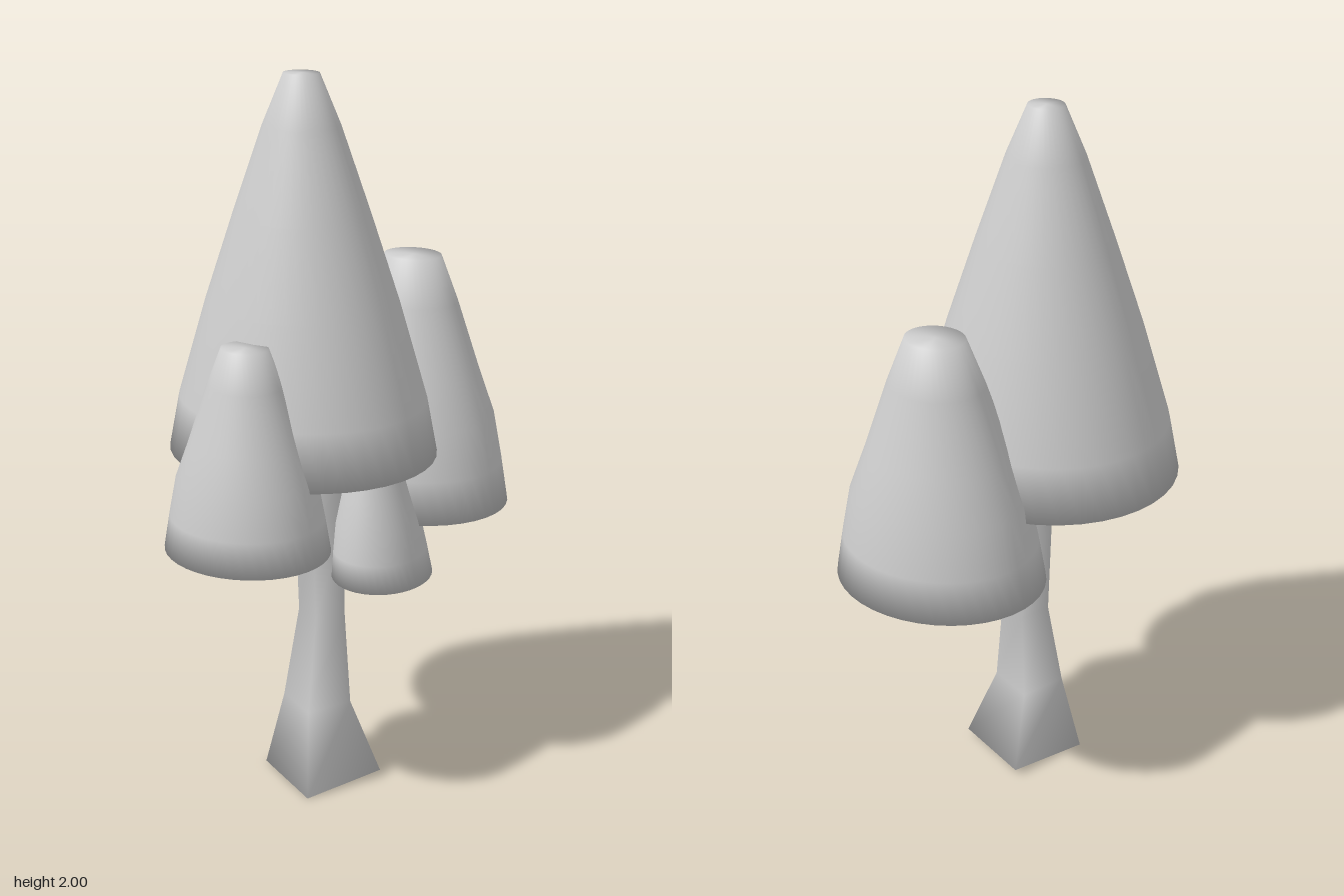
import * as THREE from 'three';

const material = new THREE.MeshStandardMaterial({ color: 0xcccccc, side: THREE.DoubleSide });

// Profiles as [height fraction, radius fraction], closed at both ends
const tallProfile = [[0, 0], [0, 1], [0.15, 0.92], [0.41, 0.71], [0.64, 0.5], [0.87, 0.28], [1, 0.13], [1, 0]];
const shortProfile = [[0, 0], [0, 1], [0.17, 0.93], [0.36, 0.84], [0.54, 0.68], [0.82, 0.45], [1, 0.28], [1, 0]];

// Blunt cone of leaves with an oval base; the tip may lean sideways
function foliage({ name, profile, x, z, rx, rz, bottom, top, leanX = 0 }) {
  const geometry = new THREE.LatheGeometry(profile.map(([t, r]) => new THREE.Vector2(r, t)), 40);
  geometry.scale(rx, top - bottom, rz);
  const p = geometry.attributes.position;
  for (let i = 0; i < p.count; i++) {
    p.setX(i, p.getX(i) + leanX * p.getY(i) / (top - bottom));
  }
  const mesh = new THREE.Mesh(geometry, material);
  mesh.name = name;
  mesh.position.set(x, bottom, z);
  return mesh;
}

// Four-sided trunk, flared at the foot and sheared along its rings
function trunk() {
  const rings = [ // y, centre x, centre z, corner radius
    [0.01, 0.017, 0.036, 0.17],
    [0.235, 0.005, 0.047, 0.097],
    [0.5, 0.008, 0.025, 0.066],
    [0.8, 0.006, 0.034, 0.07],
    [1.2, 0, 0.045, 0.08],
  ];
  const turn = -0.25;
  const positions = [];
  const index = [];
  rings.forEach(([y, cx, cz, r], level) => {
    for (let k = 0; k < 4; k++) {
      const a = turn + k * Math.PI / 2;
      // The back and left corners of the foot sit slightly off the ground
      const footY = k === 0 || k === 3 ? 0.02 : 0;
      positions.push(cx + r * Math.cos(a), level === 0 ? footY : y, cz + r * Math.sin(a));
      if (level > 0) {
        const a0 = (level - 1) * 4 + k;
        const b0 = (level - 1) * 4 + (k + 1) % 4;
        index.push(a0, a0 + 4, b0, b0, a0 + 4, b0 + 4);
      }
    }
  });
  const last = (rings.length - 1) * 4;
  index.push(0, 1, 2, 0, 2, 3);
  index.push(last, last + 2, last + 1, last, last + 3, last + 2);
  const geometry = new THREE.BufferGeometry();
  geometry.setAttribute('position', new THREE.Float32BufferAttribute(positions, 3));
  geometry.setIndex(index);
  geometry.computeVertexNormals();
  const mesh = new THREE.Mesh(geometry, material);
  mesh.name = 'trunk';
  return mesh;
}

export function createModel() {
  const group = new THREE.Group();
  group.name = 'tree';
  group.add(trunk());
  const cones = [
    { name: 'mainFoliage', profile: tallProfile, x: -0.042, z: 0.04, rx: 0.37, rz: 0.337, bottom: 0.99, top: 2 },
    { name: 'backFoliage', profile: shortProfile, x: 0.123, z: -0.283, rx: 0.288, rz: 0.243, bottom: 0.775, top: 1.475 },
    { name: 'frontFoliage', profile: shortProfile, x: -0.048, z: 0.327, rx: 0.225, rz: 0.201, bottom: 0.8, top: 1.35 },
    { name: 'lowFoliage', profile: shortProfile, x: 0.16, z: -0.045, rx: 0.136, rz: 0.155, bottom: 0.625, top: 1.07, leanX: -0.04 },
  ];
  for (const cone of cones) group.add(foliage(cone));
  return group;
}
